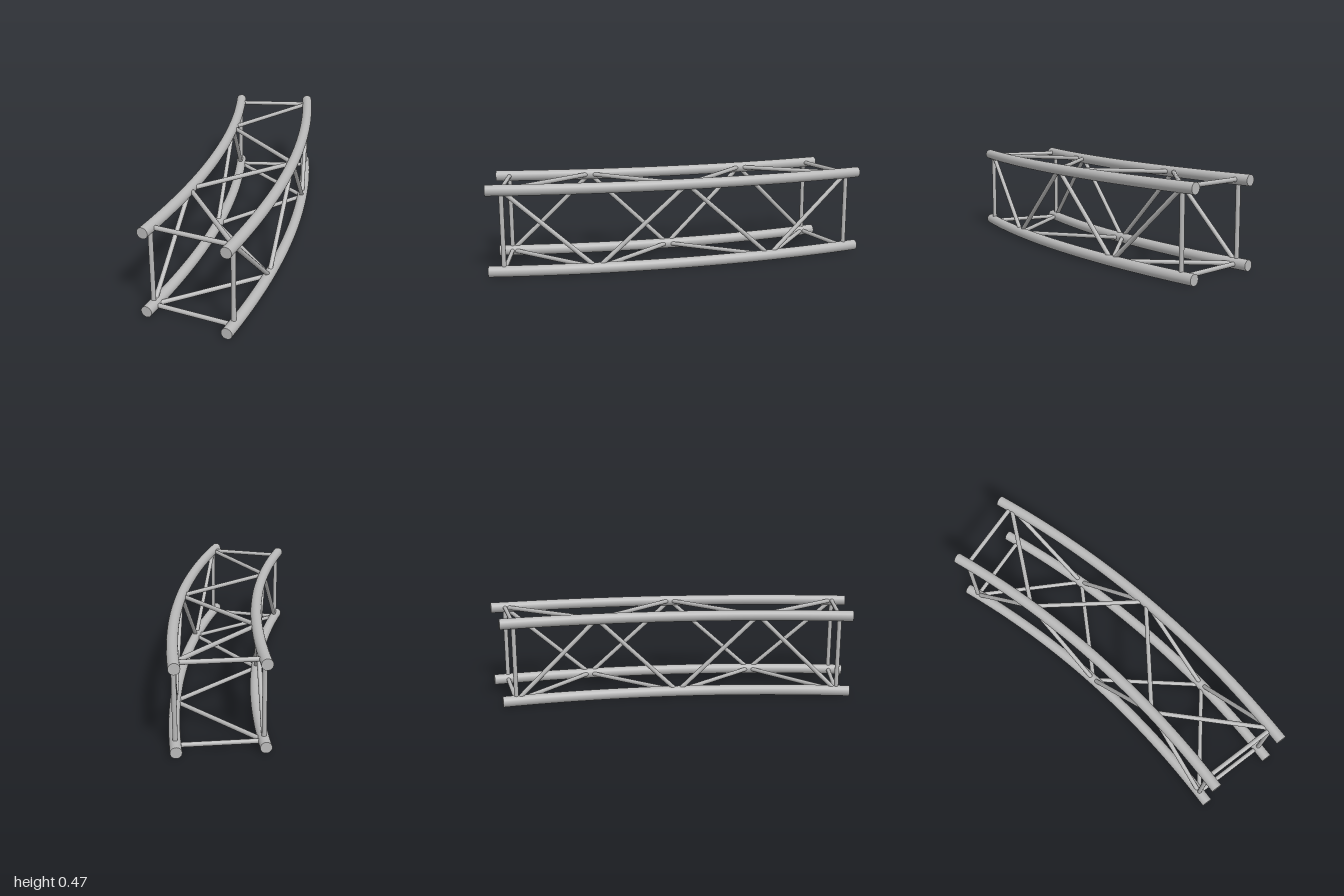
import * as THREE from 'three';

const SWEEP = THREE.MathUtils.degToRad(22.5);
const OUTER_R = 5.197, INNER_R = 4.779;   // bend radii of the two sides
const CENTRE_X = 0.39 - OUTER_R;          // bend centre lies at z = 1
const CHORD = 0.0285, BRACE = 0.012;      // tube radii
const LOW = CHORD, HIGH = 0.4465;         // chord heights

const point = (radius, y, angle) => new THREE.Vector3(
  CENTRE_X + radius * Math.cos(angle), y, 1 - radius * Math.sin(angle));

// Circular arc followed by a main chord
class BendCurve extends THREE.Curve {
  constructor(radius, y) {
    super();
    this.radius = radius;
    this.y = y;
  }
  getPoint(t, target = new THREE.Vector3()) {
    return target.copy(point(this.radius, this.y, t * SWEEP));
  }
}

export function createModel() {
  const model = new THREE.Group();
  model.name = 'curvedBoxTruss';
  const metal = new THREE.MeshStandardMaterial({ color: 0xb8b8b8 });
  metal.name = 'aluminium grey';

  const add = (geometry, name) => {
    const mesh = new THREE.Mesh(geometry, metal);
    mesh.name = name;
    model.add(mesh);
    return mesh;
  };

  // Straight round bar between two points
  const bar = (a, b, name) => {
    const dir = b.clone().sub(a);
    const mesh = add(new THREE.CylinderGeometry(BRACE, BRACE, dir.length(), 12), name);
    mesh.position.copy(a).add(b).multiplyScalar(0.5);
    mesh.quaternion.setFromUnitVectors(new THREE.Vector3(0, 1, 0), dir.normalize());
  };

  // Four bent chords with flat end caps
  for (const radius of [OUTER_R, INNER_R]) {
    for (const y of [LOW, HIGH]) {
      add(new THREE.TubeGeometry(new BendCurve(radius, y), 32, CHORD, 24), 'mainChord');
      for (const [angle, turn] of [[0, 0], [SWEEP, Math.PI + SWEEP]]) {
        const cap = add(new THREE.CircleGeometry(CHORD, 24), 'chordEndCap');
        cap.position.copy(point(radius, y, angle));
        cap.rotation.y = turn;
      }
    }
  }

  // Five evenly spaced node stations along the bend
  const node = (radius, y, i) =>
    point(radius, y, THREE.MathUtils.degToRad(0.85 + 5.2 * i));

  // Corner order around the section; neighbours share a face
  const corners = [[OUTER_R, HIGH], [INNER_R, HIGH], [INNER_R, LOW], [OUTER_R, LOW]];
  corners.forEach((a, c) => {
    const b = corners[(c + 1) % 4];
    const upright = a[0] === b[0];
    // Square frames at both ends
    for (const i of [0, 4]) {
      bar(node(...a, i), node(...b, i), upright ? 'endPost' : 'endCrossbar');
    }
    // Zigzag lacing, starting from alternate corners
    const [even, odd] = c % 2 === 0 ? [a, b] : [b, a];
    for (let i = 0; i < 4; i++) {
      const [from, to] = i % 2 === 0 ? [even, odd] : [odd, even];
      bar(node(...from, i), node(...to, i + 1), upright ? 'sideDiagonal' : 'deckDiagonal');
    }
  });

  return model;
}
